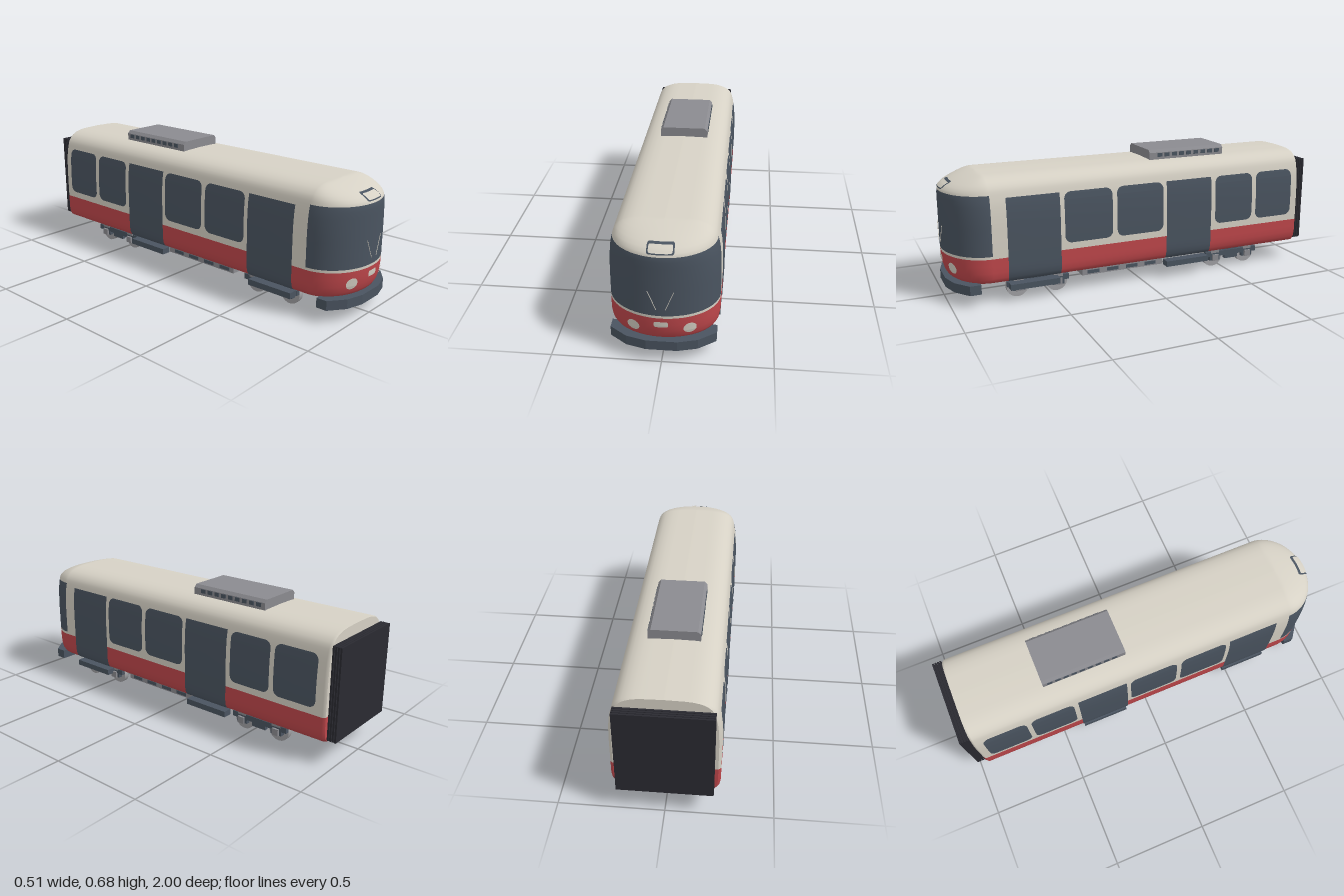
import * as THREE from 'three';

const mat = (name, color, double) => {
  const m = new THREE.MeshStandardMaterial({ color });
  m.name = name;
  if (double) m.side = THREE.DoubleSide;
  return m;
};

export function createModel() {
  const cream = mat('cream paint', 0xd6d1c5);
  const red = mat('red paint', 0xbf474b);
  const slate = mat('dark slate', 0x4a5460);
  const grey = mat('equipment grey', 0x8b8b90);
  const steel = mat('wheel steel', 0xa0a0a3);
  const black = mat('bellows black', 0x2a2a31);

  const root = new THREE.Group();
  const add = (name, geo, material, x = 0, y = 0, z = 0, parent = root) => {
    const m = new THREE.Mesh(geo, material);
    m.name = name;
    m.position.set(x, y, z);
    parent.add(m);
    return m;
  };
  const box = (name, material, w, h, d, x, y, z, parent) =>
    add(name, new THREE.BoxGeometry(w, h, d), material, x, y, z, parent);

  // Body levels: height, half width, nose tip z
  const levels = [
    [0.103, 0, 0.94], [0.104, 0.205, 0.945], [0.109, 0.225, 0.962], [0.118, 0.236, 0.974],
    [0.135, 0.245, 0.984], [0.165, 0.25, 0.993], [0.2, 0.25, 0.998], [0.237, 0.25, 1],
    [0.25, 0.25, 1], [0.38, 0.25, 1], [0.44, 0.248, 1], [0.49, 0.244, 1], [0.52, 0.239, 1],
    [0.545, 0.233, 0.998], [0.56, 0.229, 0.99], [0.575, 0.223, 0.972], [0.588, 0.213, 0.945],
    [0.6, 0.2, 0.915], [0.61, 0.183, 0.885], [0.618, 0.16, 0.858], [0.623, 0.135, 0.838],
    [0.626, 0.1, 0.825], [0.628, 0, 0.815],
  ];
  const NOSE = 0.8, BACK = -0.95;
  const at = (y, k) => {
    let i = 1;
    while (i < levels.length - 1 && levels[i][0] < y) i++;
    const a = levels[i - 1], b = levels[i];
    return THREE.MathUtils.lerp(a[k], b[k], (y - a[0]) / (b[0] - a[0]));
  };

  // Body shell: horizontal outlines stacked upwards, with a rounded nose
  const outline = ([y, w, tip]) => {
    const pts = [[Math.max(w - 0.012, 0), BACK], [w, BACK + 0.012]];
    const n = 32;
    for (let i = 0; i <= n; i++) {
      const a = (Math.PI * i) / n;
      pts.push([w * Math.cos(a), NOSE + (tip - NOSE) * Math.sin(a)]);
    }
    pts.push([-w, BACK + 0.012], [-Math.max(w - 0.012, 0), BACK]);
    // separate corners for the flat rear wall
    pts.push([...pts[pts.length - 1]], [...pts[0]]);
    return pts.map(([x, z]) => [x, y, z]);
  };
  const rings = levels.map(outline);
  const cols = rings[0].length;
  const parts = [[], [], [], []]; // cream, red, slate, grey
  for (let j = 0; j < rings.length - 1; j++) {
    const mid = (levels[j][0] + levels[j + 1][0]) / 2;
    for (let i = 0; i < cols - 1; i++) {
      const inNose = i >= 2 && i < cols - 5;
      let k = mid < 0.237 ? 1 : 0;
      if (j === 0) k = 3;
      if (inNose && mid > 0.25 && mid < 0.545) k = 2;
      const a = j * cols + i, b = a + 1, c = a + cols, d = c + 1;
      parts[k].push(a, c, b, b, c, d);
    }
  }
  const shell = new THREE.BufferGeometry();
  shell.setAttribute('position', new THREE.Float32BufferAttribute(rings.flat(2), 3));
  shell.setIndex(parts.flat());
  let start = 0;
  parts.forEach((p, k) => { shell.addGroup(start, p.length, k); start += p.length; });
  shell.computeVertexNormals();
  add('bodyShell', shell, [cream, red, slate, grey]);

  // Thin rounded panel that follows a surface; place(u, y) gives the point
  const panel = (name, material, u0, u1, y0, y1, r, place, nu = 8) => {
    const ys = levels.map(l => l[0]).filter(y => y > y0 && y < y1);
    for (let i = 0; i <= 8; i++) {
      const e = r * (1 - Math.cos((Math.PI / 16) * i));
      ys.push(y0 + e, y1 - e);
    }
    const rows = [...new Set(ys)].sort((a, b) => a - b);
    const pos = [], idx = [];
    rows.forEach((y, j) => {
      const t = Math.max(0, r - Math.min(y - y0, y1 - y));
      const inset = r - Math.sqrt(Math.max(0, r * r - t * t));
      for (let i = 0; i <= nu; i++) {
        pos.push(...place(THREE.MathUtils.lerp(u0 + inset, u1 - inset, i / nu), y));
        if (j && i) {
          const d = j * (nu + 1) + i, c = d - 1, b = d - nu - 1, a = b - 1;
          idx.push(a, b, c, b, d, c);
        }
      }
    });
    const g = new THREE.BufferGeometry();
    g.setAttribute('position', new THREE.Float32BufferAttribute(pos, 3));
    g.setIndex(idx);
    g.computeVertexNormals();
    return add(name, g, material);
  };
  const noseAt = (lift) => (x, y) =>
    [x, y, NOSE + (at(y, 2) - NOSE) * Math.sqrt(1 - (x / at(y, 1)) ** 2) + lift];

  // Side windows, doors and door steps
  const windows = [[0.18, 0.435], [-0.105, 0.155], [-0.645, -0.415], [-0.9, -0.67]];
  const doors = [[0.457, 0.725], [-0.39, -0.125]];
  for (const s of [1, -1]) {
    const place = (u, y) => [s * (at(y, 1) + 0.003), y, -s * u];
    const side = (name, z0, z1, y0, r) =>
      panel(name, slate, Math.min(-s * z0, -s * z1), Math.max(-s * z0, -s * z1), y0, 0.53, r, place, 2);
    windows.forEach(([a, b]) => side('sideWindow', a, b, 0.272, 0.035));
    doors.forEach(([a, b]) => {
      side('door', a, b, 0.105, 0);
      box('doorStep', slate, 0.05, 0.03, b - a - 0.015, s * 0.222, 0.078, (a + b) / 2);
    });
  }

  // Nose details
  for (const s of [1, -1]) {
    panel('headlight', cream, s * 0.125 - 0.028, s * 0.125 + 0.028, 0.149, 0.205, 0.028, noseAt(0.004));
    const [a, b] = [[0.058, 0.377], [0.02, 0.285]].map(([x, y]) => new THREE.Vector3(...noseAt(0.004)(s * x, y)));
    add('wiper', new THREE.TubeGeometry(new THREE.LineCurve3(a, b), 1, 0.0015, 6), cream);
  }
  panel('numberPlate', cream, -0.031, 0.031, 0.19, 0.22, 0.009, noseAt(0.004));
  panel('signFrame', slate, -0.059, 0.059, 0.556, 0.591, 0.009, noseAt(0.004), 14);
  panel('signFace', cream, -0.052, 0.052, 0.562, 0.586, 0.007, noseAt(0.007), 14);

  // Front bumper
  const plan = [[0.24, 0.86], [0.24, 0.915], [0.16, 0.975], [0.07, 1]];
  const bumperShape = new THREE.Shape(
    [...plan, ...plan.map(([x, z]) => [-x, z]).reverse()].map(p => new THREE.Vector2(...p)));
  const bumper = new THREE.ExtrudeGeometry(bumperShape, { depth: 0.048, bevelEnabled: false });
  bumper.rotateX(Math.PI / 2);
  add('bumper', bumper, slate, 0, 0.113, 0);

  // Roof unit with chamfered edges and side vents
  const roofShape = new THREE.Shape([[-0.125, 0.615], [0.125, 0.615], [0.125, 0.66], [0.111, 0.675],
    [-0.111, 0.675], [-0.125, 0.66]].map(p => new THREE.Vector2(...p)));
  add('roofUnit', new THREE.ExtrudeGeometry(roofShape, { depth: 0.44, bevelEnabled: false }), grey, 0, 0, -0.523);
  for (const s of [1, -1])
    for (let i = 0; i < 9; i++)
      box('roofVent', slate, 0.004, 0.02, 0.028, s * 0.1255, 0.647, -0.142 - i * 0.043);

  // Ribbed bellows at the rear
  box('bellowsCore', black, 0.42, 0.44, 0.048, 0, 0.345, -0.972);
  for (let i = 0; i < 4; i++)
    box('bellowsRib', black, 0.445, 0.458, 0.009, 0, 0.347, -0.957 - i * 0.0128);

  // Underfloor equipment with side vents
  box('underfloorUnit', grey, 0.4, 0.036, 0.455, 0, 0.086, 0.1025);
  for (const s of [1, -1])
    for (let i = 0; i < 4; i++)
      box('underfloorVent', slate, 0.004, 0.018, 0.065, s * 0.2005, 0.084, 0.27 - i * 0.108);

  // Bogies: wheels, axles, side frames and axle boxes
  for (const z of [0.562, -0.558]) {
    const bogie = new THREE.Group();
    bogie.name = 'bogie';
    bogie.position.z = z;
    root.add(bogie);
    box('crossBeam', slate, 0.38, 0.045, 0.09, 0, 0.08, 0, bogie);
    for (const dz of [0.103, -0.103]) {
      const axle = add('axle', new THREE.CylinderGeometry(0.012, 0.012, 0.36, 12), grey, 0, 0.056, dz, bogie);
      axle.rotation.z = Math.PI / 2;
      for (const s of [1, -1]) {
        const wheel = add('wheel', new THREE.CylinderGeometry(0.056, 0.056, 0.028, 32), steel, s * 0.159, 0.056, dz, bogie);
        wheel.rotation.z = Math.PI / 2;
        const hub = add('wheelHub', new THREE.CylinderGeometry(0.024, 0.024, 0.04, 20), grey, s * 0.159, 0.056, dz, bogie);
        hub.rotation.z = Math.PI / 2;
        box('axleBox', grey, 0.02, 0.034, 0.036, s * 0.2, 0.058, dz, bogie);
        box('spring', grey, 0.02, 0.03, 0.05, s * 0.19, 0.098, dz, bogie);
      }
    }
    for (const s of [1, -1]) {
      box('sideFrame', slate, 0.022, 0.028, 0.32, s * 0.188, 0.077, 0, bogie);
      box('frameCentre', slate, 0.022, 0.026, 0.08, s * 0.188, 0.056, 0, bogie);
      for (const dz of [0.103, -0.103])
        box('frameHorn', slate, 0.024, 0.03, 0.062, s * 0.187, 0.056, dz, bogie);
    }
  }
  return root;
}
